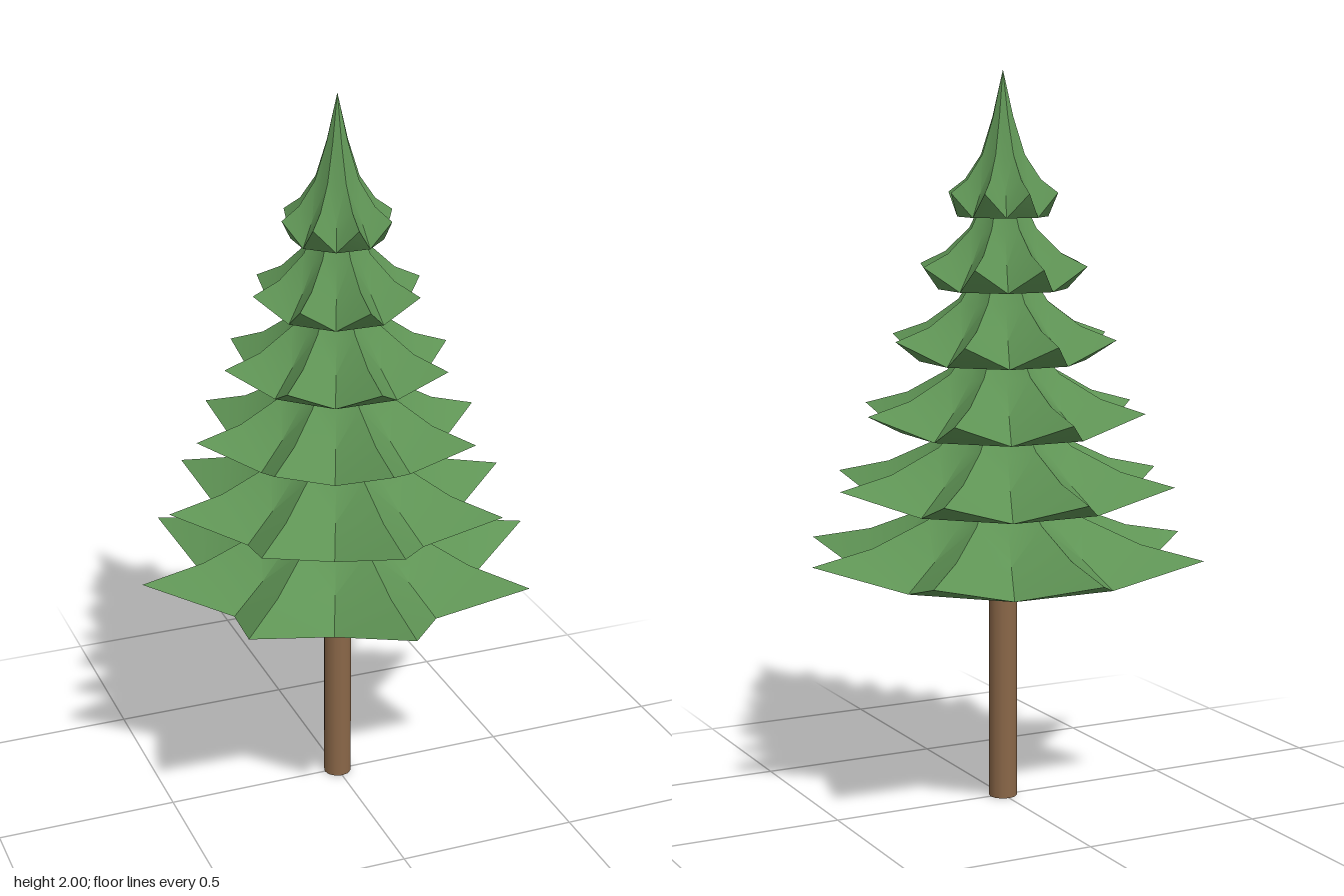
import * as THREE from 'three';
import { toCreasedNormals } from 'three/addons/utils/BufferGeometryUtils.js';

const POINTS = 8, SIDES = POINTS * 2;
const green = new THREE.MeshStandardMaterial({ color: 0x5f9455 });
const brown = new THREE.MeshStandardMaterial({ color: 0x8a6748 });

// Rings from rim to apex: [fraction of rim radius, height above the branch tips]
const RIDGE = [[1, 0], [0.69, 0.035], [0.4, 0.1], [0.19, 0.2]];
const VALLEY = [[1, -0.065], [0.73, 0.005], [0.48, 0.085], [0.23, 0.195]];
const APEX = 0.325;

// One star-shaped skirt: ridges run to raised tips, valleys droop to the flat underside
function tierGeometry(tipRadius, valleyRadius) {
  const rings = RIDGE.map((ridge, k) => Array.from({ length: SIDES }, (_, j) => {
    const isTip = j % 2 === 0;
    const [f, y] = isTip ? ridge : VALLEY[k];
    const r = f * (isTip ? tipRadius : valleyRadius);
    const a = (j / SIDES) * Math.PI * 2;
    return [Math.sin(a) * r, y, Math.cos(a) * r];
  }));
  const pos = [];
  const tri = (a, b, c) => pos.push(...a, ...b, ...c);
  const apex = [0, APEX, 0];
  const base = [0, VALLEY[0][1], 0];

  for (let j = 0; j < SIDES; j++) {
    const n = (j + 1) % SIDES;
    // sloping sides, mirrored diagonals about each ridge
    for (let k = 0; k < rings.length - 1; k++) {
      const a = rings[k][j], b = rings[k][n], c = rings[k + 1][n], d = rings[k + 1][j];
      if (j % 2 === 0) { tri(a, b, d); tri(b, c, d); }
      else { tri(a, b, c); tri(a, c, d); }
    }
    const top = rings[rings.length - 1];
    tri(top[j], top[n], apex);
  }
  // underside: a tilted triangle below each tip and a flat octagon inside
  for (let j = 0; j < SIDES; j += 2) {
    const rim = rings[0];
    const before = rim[(j + SIDES - 1) % SIDES], after = rim[j + 1];
    tri(rim[j], before, after);
    tri(base, after, before);
  }
  const geo = new THREE.BufferGeometry();
  geo.setAttribute('position', new THREE.Float32BufferAttribute(pos, 3));
  return toCreasedNormals(geo, 0.7);
}

export function createModel() {
  const tree = new THREE.Group();
  tree.name = 'pineTree';

  // Trunk
  const trunk = new THREE.Mesh(new THREE.CylinderGeometry(0.039, 0.039, 0.7, 12), brown);
  trunk.name = 'trunk';
  trunk.position.y = 0.35;
  tree.add(trunk);

  // Six foliage tiers, shrinking evenly upwards
  for (let i = 0; i < 6; i++) {
    const tier = new THREE.Mesh(tierGeometry(0.565 - 0.082 * i, 0.383 - 0.052 * i), green);
    tier.name = `foliageTier${i + 1}`;
    tier.position.y = 0.7 + 0.195 * i;
    tree.add(tier);
  }
  return tree;
}
